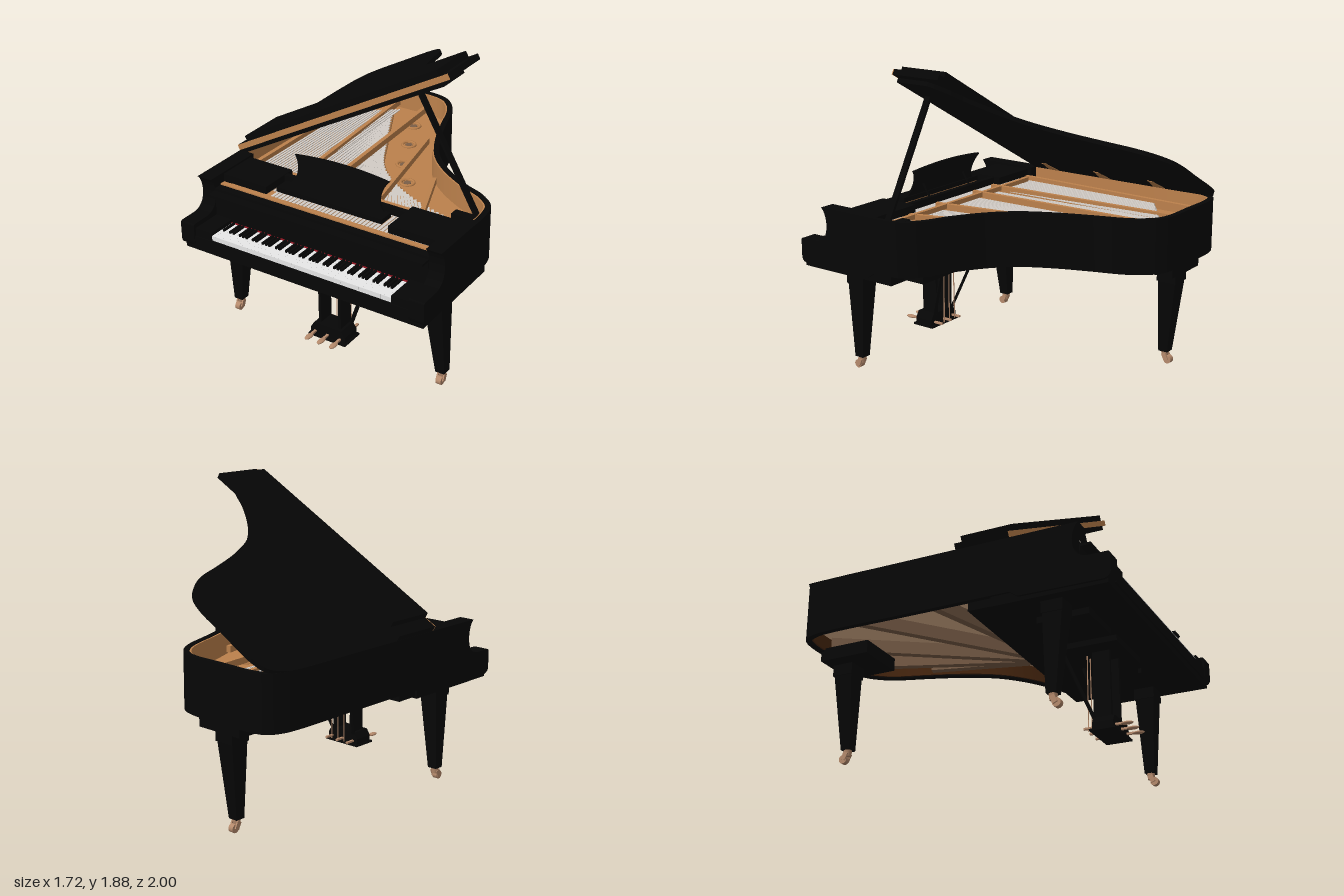
import * as THREE from 'three';
import { toCreasedNormals } from 'three/addons/utils/BufferGeometryUtils.js';

const mat = (name, color) => Object.assign(new THREE.MeshStandardMaterial({ color }), { name });
const V = (x, y, z) => new THREE.Vector3(x, y, z);

export function createModel() {
  const black = mat('black lacquer', 0x060606);
  const copper = mat('golden frame', 0xbc814c);
  const brass = mat('brass', 0xb58a6c);
  const ivory = mat('key white', 0xececec);
  const steel = mat('string steel', 0xd2ccc6);
  const felt = mat('red felt', 0x8c1420);
  const spruce = mat('soundboard wood', 0xe0b68e);
  const beamWood = mat('beam wood', 0x7a5e48);
  const walnut = mat('dark rim wood', 0x4a2810);

  const model = new THREE.Group();
  model.name = 'grandPiano';

  const add = (name, geo, material, parent = model) => {
    const m = new THREE.Mesh(geo, material);
    m.name = name;
    parent.add(m);
    return m;
  };
  // box given by its min and max on each axis
  const box = (name, material, x0, x1, y0, y1, z0, z1, parent = model) => {
    const m = add(name, new THREE.BoxGeometry(x1 - x0, y1 - y0, z1 - z0), material, parent);
    m.position.set((x0 + x1) / 2, (y0 + y1) / 2, (z0 + z1) / 2);
    return m;
  };
  // bar of width w and height h between two points
  const bar = (name, material, a, b, w, h, parent = model) => {
    const m = new THREE.Mesh(new THREE.BoxGeometry(w, h, a.distanceTo(b)), material);
    m.name = name;
    m.position.copy(a).lerp(b, 0.5);
    m.lookAt(b);
    parent.add(m);
    return m;
  };
  // plan outline [x, z] extruded upwards from y0 to y1
  const slab = (name, material, pts, y0, y1, parent = model) => {
    const shape = new THREE.Shape(pts.map(([x, z]) => new THREE.Vector2(x, -z)));
    const geo = new THREE.ExtrudeGeometry(shape, { depth: y1 - y0, bevelEnabled: false });
    geo.rotateX(-Math.PI / 2).translate(0, y0, 0);
    return add(name, toCreasedNormals(geo, 0.5), material, parent);
  };

  // Plan curve of the case, from the treble side round the tail to the bass side
  const plan = new THREE.CatmullRomCurve3([
    [0.85, 0.5], [0.85, 0.32], [0.82, 0.2], [0.72, 0.11], [0.56, 0.04], [0.37, -0.08], [0.24, -0.21],
    [0.135, -0.4], [0.055, -0.61], [-0.01, -0.8], [-0.07, -0.9], [-0.15, -0.97], [-0.25, -0.998],
    [-0.45, -1], [-0.7, -1], [-0.79, -0.97], [-0.835, -0.89], [-0.85, -0.78], [-0.85, -0.3], [-0.85, 0.5],
  ].map(([x, z]) => V(x, 0, z)));
  const outline = (inset) => Array.from({ length: 101 }, (_, i) => {
    const p = plan.getPoint(i / 100), t = plan.getTangent(i / 100);
    return [p.x + t.z * inset, p.z - t.x * inset];
  });
  const band = (a, b) => [...outline(a), ...outline(b).reverse()];

  // Case
  slab('rim', black, band(0, 0.035), 0.68, 1.02);
  slab('innerRim', copper, band(0.034, 0.045), 0.8, 1.015);
  slab('lowerInnerRim', walnut, band(0.034, 0.045), 0.69, 0.78);
  slab('soundboard', spruce, outline(0.035), 0.78, 0.8);
  slab('ironFrame', copper, outline(0.035), 0.85, 0.87);
  box('pinBlock', copper, -0.75, 0.75, 0.87, 0.91, 0.42, 0.695);
  box('keybed', black, -0.835, 0.835, 0.62, 0.7, 0.28, 0.98);
  box('keybedRear', black, -0.82, 0.72, 0.63, 0.7, 0.13, 0.28);

  // Arms with curved cheeks
  const cheek = new THREE.Shape();
  cheek.moveTo(0.4, 0.68);
  cheek.lineTo(0.45, 0.645);
  cheek.lineTo(0.96, 0.64);
  cheek.quadraticCurveTo(1, 0.65, 1, 0.68);
  cheek.lineTo(1, 0.78);
  cheek.quadraticCurveTo(1, 0.8, 0.98, 0.8);
  cheek.lineTo(0.87, 0.8);
  cheek.bezierCurveTo(0.79, 0.81, 0.78, 0.87, 0.78, 0.92);
  cheek.quadraticCurveTo(0.785, 0.99, 0.82, 1.02);
  cheek.lineTo(0.4, 1.02);
  for (const s of [-1, 1]) {
    const g = new THREE.ExtrudeGeometry(cheek, { depth: 0.1, bevelEnabled: false });
    g.rotateY(-Math.PI / 2).translate(s > 0 ? 0.85 : -0.75, 0, 0);
    add('arm', toCreasedNormals(g, 0.5), black);
    box('keyBlock', black, s > 0 ? 0.632 : -0.75, s > 0 ? 0.75 : -0.632, 0.68, 0.77, 0.74, 0.985);
    box('deskWing', black, s > 0 ? 0.43 : -0.8, s > 0 ? 0.8 : -0.43, 0.96, 1.008, 0.43, 0.695);
  }

  // Keyboard
  box('keySlip', black, -0.76, 0.76, 0.65, 0.72, 0.98, 0.997);
  box('fallboard', black, -0.75, 0.75, 0.752, 0.95, 0.73, 0.785);
  box('fallboardLip', black, -0.75, 0.75, 0.922, 0.936, 0.73, 0.85);
  box('fallboardRail', copper, -0.75, 0.75, 0.9, 0.958, 0.695, 0.73);
  box('keyFelt', felt, -0.63, 0.63, 0.748, 0.753, 0.785, 0.797);
  const pitch = 1.26 / 52;
  for (let i = 0; i < 52; i++) {
    const x = -0.63 + i * pitch;
    box('whiteKey', ivory, x + 0.0001, x + pitch - 0.0001, 0.715, 0.75, 0.78, 0.98);
    if (i < 51 && ![1, 4].includes(i % 7))
      box('blackKey', black, x + pitch - 0.0065, x + pitch + 0.0065, 0.74, 0.764, 0.797, 0.9);
  }

  // Music desk
  const desk = new THREE.Shape();
  desk.moveTo(-0.33, 0);
  desk.bezierCurveTo(-0.27, 0.04, -0.28, 0.13, -0.33, 0.178);
  desk.quadraticCurveTo(0, 0.22, 0.335, 0.178);
  desk.bezierCurveTo(0.285, 0.13, 0.275, 0.04, 0.335, 0);
  const deskMesh = add('musicDesk', new THREE.ExtrudeGeometry(desk, { depth: 0.012, bevelEnabled: false }), black);
  deskMesh.position.set(0, 1.015, 0.58);
  deskMesh.rotation.x = -0.34;
  box('deskRailRear', black, -0.43, 0.43, 0.96, 1.005, 0.475, 0.51);
  box('deskRailFront', black, -0.37, 0.37, 0.985, 1.015, 0.57, 0.67);
  for (const x of [-0.2, 0.2]) bar('deskStrut', black, V(x, 1.0, 0.51), V(x, 1.08, 0.56), 0.012, 0.006);

  // Strings: treble fan ending on the long bridge, bass fan crossing above
  const bridge = new THREE.CatmullRomCurve3([
    V(-0.45, 0.9, -0.75), V(-0.26, 0.9, -0.38), V(-0.07, 0.9, -0.05), V(0.25, 0.9, 0.18), V(0.66, 0.9, 0.32)]);
  add('bridge', new THREE.TubeGeometry(bridge, 30, 0.014, 6), copper);
  for (let i = 0; i < 44; i++) {
    const t = i / 43, x = -0.43 + 1.12 * t;
    bar('trebleString', steel, V(x, 0.92, 0.69), V(x, 0.92, 0.4), 0.019, 0.004);
    bar('trebleString', steel, V(x, 0.92, 0.4), bridge.getPoint(t).setY(0.915), 0.017, 0.004);
  }
  for (let i = 0; i < 16; i++) {
    const t = i / 15;
    bar('bassString', steel, V(-0.72 + 0.32 * t, 0.935, 0.6), V(-0.7 + 0.28 * t, 0.935, -0.6 - 0.2 * t), 0.014, 0.004);
  }
  // Frame struts and cast rings
  for (const [x0, x1, z1] of [[-0.74, -0.74, -0.85], [-0.4, -0.5, -0.92], [-0.2, -0.28, -0.9], [0.18, -0.02, -0.5], [0.5, 0.3, -0.04]])
    bar('frameStrut', copper, V(x0, 0.945, 0.47), V(x1, 0.93, z1), 0.028, 0.04);
  bar('frameCrossStrut', copper, V(-0.7, 0.95, 0.4), V(0.78, 0.95, 0.4), 0.025, 0.03);
  for (const [x, z] of [[-0.27, -0.74], [-0.15, -0.48], [-0.03, -0.22], [0.12, -0.02]]) {
    const ring = add('frameRing', new THREE.TorusGeometry(0.042, 0.01, 6, 20), copper);
    ring.rotation.x = Math.PI / 2;
    ring.position.set(x, 0.872, z);
    const hole = add('frameHole', new THREE.CylinderGeometry(0.024, 0.024, 0.006, 20), beamWood);
    hole.position.set(x, 0.871, z);
  }

  // Beams under the soundboard
  for (const [x, z] of [[-0.8, -0.1], [-0.8, -0.6], [-0.55, -0.95], [-0.24, -0.94], [0.0, -0.55]])
    bar('underBeam', beamWood, V(0.2, 0.74, 0.2), V(x, 0.74, z), 0.045, 0.08);

  // Lid, hinged on the bass side, with the front flap folded back on top
  const lid = new THREE.Group();
  lid.name = 'lid';
  lid.position.set(-0.85, 0.99, 0);
  lid.rotation.z = 0.5045;
  model.add(lid);
  const lidPlan = outline(0).map(([x, z]) => [Math.min(x + 0.864, 1.665), Math.min(z, 0.4)]);
  slab('lidPanel', black, lidPlan, 0, 0.027, lid);
  box('flapLower', black, 0.015, 1.72, 0.027, 0.062, 0.06, 0.4, lid);
  box('flapEdge', copper, 0.015, 1.72, 0.027, 0.062, 0.4, 0.406, lid);
  box('flapUpper', black, 0.1, 1.66, 0.062, 0.1, 0.07, 0.4, lid);
  for (const z of [0.24, -0.17, -0.58]) {
    slab('lidHinge', copper, [[0.06, z - 0.04], [0.06, z + 0.04], [0.11, z + 0.035], [0.16, z + 0.02],
      [0.2, z + 0.02], [0.2, z - 0.02], [0.16, z - 0.02], [0.11, z - 0.035]], -0.003, 0.001, lid);
  }
  bar('lidProp', black, V(0.8, 1.0, 0.325), V(0.41, 1.69, 0.325), 0.04, 0.018);
  box('propBlock', black, 0.64, 0.82, 0.95, 0.985, 0.29, 0.35);

  // Legs with casters; the foot is shifted by dx, dz against the top
  const leg = (name, x, z, dx, dz) => {
    const g = new THREE.Group();
    g.name = name;
    g.position.set(x, 0, z);
    model.add(g);
    const shaft = new THREE.CylinderGeometry(0.12 / Math.SQRT2, 0.062 / Math.SQRT2, 0.48, 4).toNonIndexed();
    shaft.rotateY(Math.PI / 4).translate(0, 0.32, 0);
    const p = shaft.attributes.position;
    for (let i = 0; i < p.count; i++) {
      const k = (0.56 - p.getY(i)) / 0.48;
      p.setXYZ(i, p.getX(i) + dx * k, p.getY(i), p.getZ(i) + dz * k);
    }
    shaft.computeVertexNormals();
    add('legShaft', shaft, black, g);
    box('legCap', black, -0.066, 0.066, 0.55, 0.64, -0.066, 0.066, g);
    const caster = new THREE.Group();
    caster.name = 'caster';
    caster.position.set(dx, 0, dz);
    g.add(caster);
    const socket = add('casterSocket', new THREE.CylinderGeometry(0.026, 0.02, 0.04, 12), brass, caster);
    socket.position.y = 0.063;
    for (const s of [-1, 1]) bar('casterFork', brass, V(s * 0.021, 0.065, 0), V(s * 0.021, 0.022, 0.02), 0.009, 0.03, caster);
    const wheel = add('casterWheel', new THREE.CylinderGeometry(0.026, 0.026, 0.034, 16), brass, caster);
    wheel.rotation.z = Math.PI / 2;
    wheel.position.set(0, 0.026, 0.024);
    return caster;
  };
  leg('frontLegRight', -0.71, 0.62, -0.032, -0.012);
  leg('frontLegLeft', 0.72, 0.62, 0.032, -0.012);
  leg('backLeg', -0.4425, -0.887, 0, 0.028).rotation.y = Math.PI;
  box('backLegBlock', black, -0.6, -0.28, 0.62, 0.7, -0.985, -0.66);
  box('underKeybedBlock', black, -0.6, -0.28, 0.582, 0.63, 0.45, 0.77);

  // Pedal lyre
  box('lyreTop', black, -0.19, 0.19, 0.585, 0.63, 0.45, 0.77);
  box('lyreBase', black, -0.135, 0.135, 0.08, 0.092, 0.56, 0.72);
  const lyreBox = new THREE.Shape([[-0.125, 0.09], [0.125, 0.09], [0.125, 0.13], [0.1, 0.17], [-0.1, 0.17], [-0.125, 0.13]]
    .map(([x, y]) => new THREE.Vector2(x, y)));
  add('lyreBox', new THREE.ExtrudeGeometry(lyreBox, { depth: 0.13, bevelEnabled: false }), black).position.z = 0.575;
  for (const s of [-1, 1]) {
    box('lyrePost', black, s * 0.072 - 0.009, s * 0.072 + 0.009, 0.16, 0.6, 0.57, 0.68);
    bar('lyreBrace', black, V(s * 0.18, 0.61, 0.41), V(s * 0.09, 0.16, 0.58), 0.018, 0.018);
  }
  for (const x of [-0.09, 0, 0.09]) {
    bar('pedal', brass, V(x, 0.112, 0.51), V(x, 0.112, 0.75), 0.016, 0.012);
    const toe = add('pedalToe', new THREE.SphereGeometry(0.02, 12, 8), brass);
    toe.scale.set(1, 0.5, 2);
    toe.position.set(x, 0.11, 0.775);
    bar('pedalRod', brass, V(x * 0.6, 0.11, 0.525), V(x * 0.5, 0.62, 0.525), 0.005, 0.005);
  }
  box('kneeKnob', black, 0.342, 0.358, 0.59, 0.63, 0.7, 0.72);
  return model;
}
